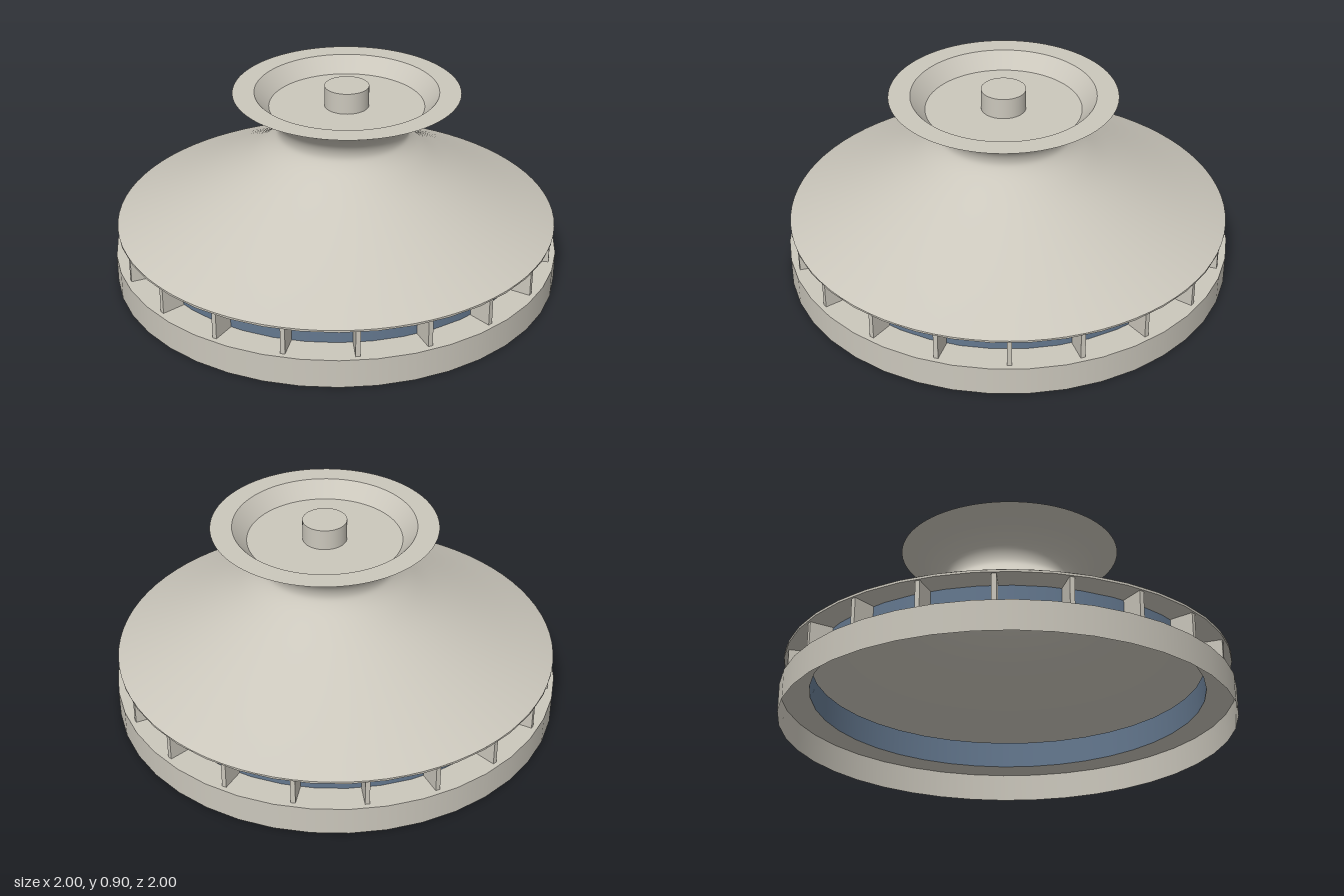
import * as THREE from 'three';

const SIDES = 40;
const FINS = 20;

export function createModel() {
  const model = new THREE.Group();
  model.name = 'pavilion';

  const concrete = new THREE.MeshStandardMaterial({ color: 0xcbc7bc, side: THREE.DoubleSide });
  concrete.name = 'pale concrete';
  const glass = new THREE.MeshStandardMaterial({ color: 0x64788f, side: THREE.DoubleSide });
  glass.name = 'blue glass';

  // The roof leans slightly: each level shifts sideways as it rises
  const lean = (y) => [0.04 * (y - 0.26) / 0.615, 0.03 * (y - 0.26) / 0.615];

  function add(name, geometry, material = concrete) {
    const mesh = new THREE.Mesh(geometry, material);
    mesh.name = name;
    model.add(mesh);
    return mesh;
  }

  // Surface of revolution from [radius, y] pairs
  function lathe(name, pairs, material, sides = SIDES) {
    const pts = pairs.map(([r, y]) => new THREE.Vector2(r, y));
    return add(name, new THREE.LatheGeometry(pts, sides), material);
  }

  // Hollow base: outer wall and the ledge on top
  lathe('baseWall', [[1, 0], [1, 0.13]]);
  lathe('baseLedge', [[1, 0.13], [0.87, 0.13]]);

  // Window band set back behind the fins
  lathe('windowBand', [[0.87, 0.13], [0.87, 0.255]], glass);

  // Radial fins carrying the roof edge
  for (let i = 0; i < FINS; i++) {
    const a = THREE.MathUtils.degToRad(4.5 + (i * 360) / FINS);
    const fin = add('fin', new THREE.BoxGeometry(0.02, 0.126, 0.105));
    fin.position.set(Math.sin(a) * 0.922, 0.193, Math.cos(a) * 0.922);
    fin.rotation.y = a;
  }

  // Roof soffit and thin rim
  lathe('roofSoffit', [[0.87, 0.255], [0.987, 0.255]]);
  lathe('roofRim', [[0.987, 0.255], [0.987, 0.265]]);

  // Flowing roof: wide skirt, narrow neck, flared top
  const profile = new THREE.SplineCurve([
    [0.987, 0.265], [0.8, 0.35], [0.62, 0.44], [0.46, 0.53], [0.36, 0.602],
    [0.306, 0.655], [0.29, 0.695], [0.307, 0.745], [0.36, 0.795], [0.425, 0.836], [0.5, 0.875],
  ].map(([r, y]) => new THREE.Vector2(r, y)));
  const roof = new THREE.LatheGeometry(profile.getPoints(50), SIDES * 2);
  const p = roof.attributes.position;
  for (let i = 0; i < p.count; i++) {
    const [dx, dz] = lean(p.getY(i));
    p.setX(i, p.getX(i) + dx);
    p.setZ(i, p.getZ(i) + dz);
  }
  add('roof', roof);

  // Flat top lip, sloped recess wall and recess floor
  const [cx, cz] = lean(0.875);
  const top = [
    lathe('topLip', [[0.5, 0.875], [0.405, 0.875]], concrete, SIDES * 2),
    lathe('recessWall', [[0.405, 0.875], [0.342, 0.805]], concrete, SIDES * 2),
    lathe('recessFloor', [[0.342, 0.805], [0, 0.805]], concrete, SIDES * 2),
  ];

  // Small hub standing in the recess
  const hub = add('hub', new THREE.CylinderGeometry(0.098, 0.098, 0.094, SIDES));
  hub.position.y = 0.852;
  for (const part of [...top, hub]) {
    part.position.x = cx;
    part.position.z = cz;
  }

  return model;
}
